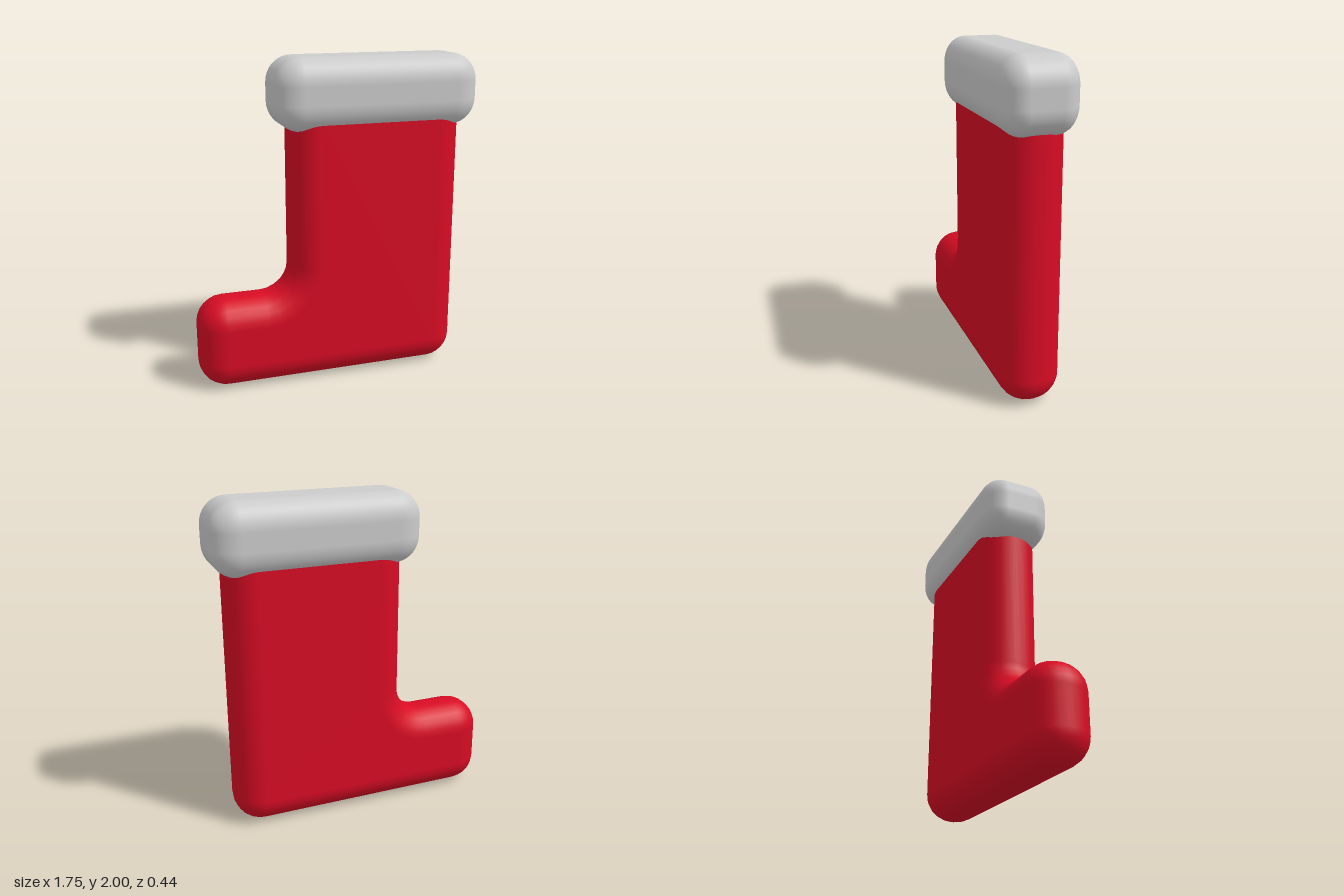
import * as THREE from 'three';
import { RoundedBoxGeometry } from 'three/addons/geometries/RoundedBoxGeometry.js';

const STEPS = 6;      // segments per rounded corner
const ROUND = 0.17;   // edge rounding of the sock
const FILLET = 0.17;  // hollow curve at the instep
const HALF_DEPTH = 0.18;

// Corner arc centres, counter-clockwise from the heel: x, y, start angle, hollow?
const corners = [
  [0.62, ROUND, -Math.PI / 2],
  [0.62, 1.63, 0],
  [-0.125, 1.63, Math.PI / 2],
  [-0.295 - FILLET, 0.57 + FILLET, 0, true],
  [-0.705, 0.40, Math.PI / 2],
  [-0.705, ROUND, Math.PI],
];

// One outline of the sock, shrunk by the inset, with outward directions
function outline(inset) {
  const points = [];
  for (const [cx, cy, start, hollow] of corners) {
    const radius = hollow ? FILLET + inset : ROUND - inset;
    for (let i = 0; i <= STEPS; i++) {
      const turn = (i / STEPS) * Math.PI / 2;
      const a = start + (hollow ? -turn : turn);
      const c = Math.cos(a), s = Math.sin(a), sign = hollow ? -1 : 1;
      points.push({ x: cx + radius * c, y: cy + radius * s, nx: sign * c, ny: sign * s });
    }
  }
  return points;
}

// Sock body: outlines stacked from back to front, closed by flat caps
function sockGeometry() {
  const position = [], normal = [], index = [];
  const count = corners.length * (STEPS + 1);
  const rings = 2 * (STEPS + 1);
  for (let k = 0; k < rings; k++) {
    const front = k > STEPS;
    const step = front ? k - STEPS - 1 : STEPS - k;
    const a = (step / STEPS) * Math.PI / 2;
    const sign = front ? 1 : -1;
    const z = sign * (HALF_DEPTH - ROUND + ROUND * Math.sin(a));
    for (const p of outline(ROUND * (1 - Math.cos(a)))) {
      position.push(p.x, p.y, z);
      normal.push(p.nx * Math.cos(a), p.ny * Math.cos(a), sign * Math.sin(a));
    }
  }
  for (let k = 0; k < rings - 1; k++) {
    for (let i = 0; i < count; i++) {
      const j = (i + 1) % count;
      const a = k * count + i, b = k * count + j;
      index.push(a, b, b + count, a, b + count, a + count);
    }
  }
  // The whole outline is visible from the heel, so the caps fan out from there
  const last = (rings - 1) * count;
  for (let i = 1; i < count - 1; i++) {
    index.push(0, i + 1, i);
    index.push(last, last + i, last + i + 1);
  }
  const geometry = new THREE.BufferGeometry();
  geometry.setAttribute('position', new THREE.Float32BufferAttribute(position, 3));
  geometry.setAttribute('normal', new THREE.Float32BufferAttribute(normal, 3));
  geometry.setIndex(index);
  return geometry;
}

export function createModel() {
  const model = new THREE.Group();
  model.name = 'stocking';

  const sock = new THREE.Mesh(sockGeometry(), new THREE.MeshStandardMaterial({ color: 0xd80c24 }));
  sock.name = 'sock';
  model.add(sock);

  // Padded cuff, slightly flattened front to back
  const cuffGeometry = new RoundedBoxGeometry(1.26, 0.43, 0.55, 5, 0.16);
  cuffGeometry.scale(1, 1, 0.8);
  const cuff = new THREE.Mesh(cuffGeometry, new THREE.MeshStandardMaterial({ color: 0xcccccc }));
  cuff.name = 'cuff';
  cuff.position.set(0.242, 1.785, 0);
  model.add(cuff);

  return model;
}
